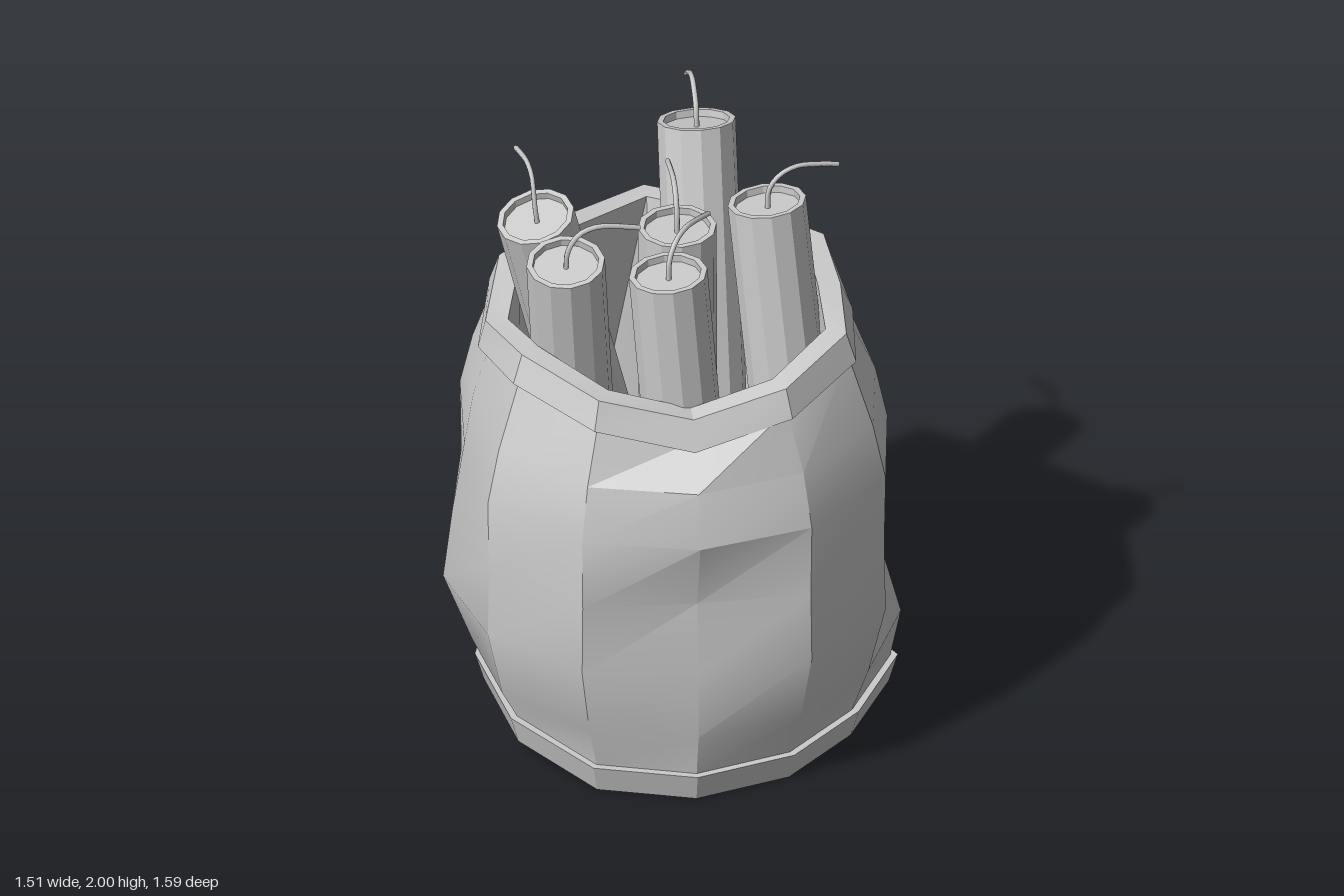
import * as THREE from 'three';
import { toCreasedNormals } from 'three/addons/utils/BufferGeometryUtils.js';

const SIDES = 12;
const CENTRE_Z = 0.05;
const material = new THREE.MeshStandardMaterial({ color: 0xcccccc });

// Regular ring whose left (-x), right (+x), front and back columns are pushed in or out;
// y may vary by column and no column lies behind the back one
function ring(y, radius, left, right, front, back, grow = 0) {
  const radii = new Array(SIDES).fill(radius);
  radii[0] = front - CENTRE_Z;
  radii[3] = right;
  radii[6] = CENTRE_Z - back;
  radii[9] = -left;
  return radii.map((r, i) => {
    const a = (i / SIDES) * Math.PI * 2;
    return new THREE.Vector3(
      (r + grow) * Math.sin(a),
      typeof y === 'function' ? y(i) : y,
      Math.max(CENTRE_Z + (r + grow) * Math.cos(a), back - grow));
  });
}

// Skin consecutive rings, optionally closing the first or last one
function loft(rings, capFirst, capLast) {
  const positions = [];
  const tri = (...pts) => pts.forEach((p) => positions.push(p.x, p.y, p.z));
  for (let r = 0; r < rings.length - 1; r++) {
    for (let i = 0; i < SIDES; i++) {
      const j = (i + 1) % SIDES, low = rings[r], high = rings[r + 1];
      tri(low[i], low[j], high[j]);
      tri(low[i], high[j], high[i]);
    }
  }
  const cap = (points, flip) => {
    const centre = new THREE.Vector3();
    points.forEach((p) => centre.addScaledVector(p, 1 / SIDES));
    points.forEach((p, i) => {
      const q = points[(i + 1) % SIDES];
      if (flip) tri(centre, q, p); else tri(centre, p, q);
    });
  };
  if (capFirst) cap(rings[0], true);
  if (capLast) cap(rings[rings.length - 1], false);
  const geometry = new THREE.BufferGeometry();
  geometry.setAttribute('position', new THREE.Float32BufferAttribute(positions, 3));
  return toCreasedNormals(geometry, 0.48);
}

function addMesh(parent, geometry, name) {
  const mesh = new THREE.Mesh(geometry, material);
  mesh.name = name;
  parent.add(mesh);
}

// Column heights: the right-hand bottom corner lifts, the mouth dips at front and back
const lift = [0, 0, 0, 0, 0, 0, 0, 0, 0.04, 0.11, 0.06, 0];
const mouth = [1.42, 1.5, 1.555, 1.555, 1.555, 1.54, 1.49, 1.54, 1.555, 1.5, 1.555, 1.5];
const bottomY = (h) => (i) => h + lift[i];
const mouthY = (h) => (i) => mouth[i] + h;

// Sagging sack body: y, radius, left, right, front, back
const body = [
  [bottomY(0), 0.63, -0.62, 0.71, 0.69, -0.44],
  [bottomY(0.1), 0.64, -0.63, 0.72, 0.70, -0.46],
  [0.27, 0.70, -0.665, 0.755, 0.75, -0.56],
  [0.52, 0.76, -0.76, 0.69, 0.755, -0.63],
  [0.77, 0.755, -0.73, 0.665, 0.715, -0.60],
  [1.03, 0.76, -0.69, 0.71, 0.80, -0.62],
  [1.22, 0.715, -0.66, 0.67, 0.76, -0.68],
  [mouthY(-0.08), 0.625, -0.60, 0.555, 0.62, -0.70],
];

// Sticks: top x, y, z, then foot x, z, then fuse tip x, y, z
const FLOOR = 0.35;
const sticks = [
  [-0.06, 1.87, 0.415, 0.06, 0.42, 0.10, 1.955, 0.20],
  [0.005, 1.87, 0.13, 0.015, 0.1, 0.005, 1.96, -0.13],
  [0.315, 1.875, 0.02, 0.45, 0.19, 0.56, 1.955, -0.05],
  [-0.445, 1.84, -0.03, -0.09, -0.3, -0.48, 1.96, -0.27],
  [-0.385, 1.865, 0.30, -0.285, 0.03, -0.135, 1.955, 0.26],
  [0.147, 1.87, -0.515, 0.155, -0.1, 0.147, 1.875, -0.79],
];

function makeStick([tx, ty, tz, fx, fz, ex, ey, ez]) {
  const group = new THREE.Group();
  group.name = 'stick';
  const top = new THREE.Vector3(tx, ty, tz);
  const foot = new THREE.Vector3(fx, FLOOR, fz);
  const axis = top.clone().sub(foot);
  const length = axis.length();
  axis.normalize();

  // Paper tube with a recessed end
  const profile = [[0, 0], [0.13, 0], [0.13, length], [0.11, length], [0.11, length - 0.025], [0, length - 0.025]]
    .map(([x, y]) => new THREE.Vector2(x, y));
  const tube = toCreasedNormals(new THREE.LatheGeometry(profile, 12), 0.4);
  tube.applyQuaternion(new THREE.Quaternion().setFromUnitVectors(new THREE.Vector3(0, 1, 0), axis));
  tube.translate(foot.x, foot.y, foot.z);
  addMesh(group, tube, 'stickTube');

  // Drooping fuse
  const end = new THREE.Vector3(ex, ey, ez);
  const start = top.clone().addScaledVector(axis, -0.03);
  const along = (t, y) => new THREE.Vector3().lerpVectors(top, end, t).setY(y);
  const peak = Math.max(ey + 0.028, ty + 0.09);
  const curve = new THREE.CatmullRomCurve3([
    start, along(0.03, ty + 0.04), along(0.18, peak - 0.02), along(0.42, peak), along(0.7, (peak * 2 + ey) / 3), end]);
  addMesh(group, new THREE.TubeGeometry(curve, 14, 0.009, 6), 'fuse');
  return group;
}

export function createModel() {
  const model = new THREE.Group();
  model.name = 'sackOfSticks';

  addMesh(model, loft(body.map((row) => ring(...row)), true, false), 'sackBody');

  // Band around the foot
  addMesh(model, loft([
    ring(...body[0]),
    ring(...body[0], 0.005),
    ring(...body[1], 0.025),
    ring(...body[1], -0.01),
  ]), 'footBand');

  // Cuff around the mouth, inner wall and floor
  const cuffTop = [mouthY(0), 0.62, -0.62, 0.555, 0.615, -0.735];
  addMesh(model, loft([
    ring(mouthY(-0.09), 0.61, -0.59, 0.545, 0.61, -0.69),
    ring(mouthY(-0.1), 0.655, -0.645, 0.595, 0.66, -0.74),
    ring(...cuffTop),
    ring(...cuffTop, -0.075),
    ring(FLOOR, 0.54, -0.52, 0.5, 0.56, -0.42),
  ], false, true), 'mouthCuffAndLining');

  sticks.forEach((s) => model.add(makeStick(s)));
  return model;
}
